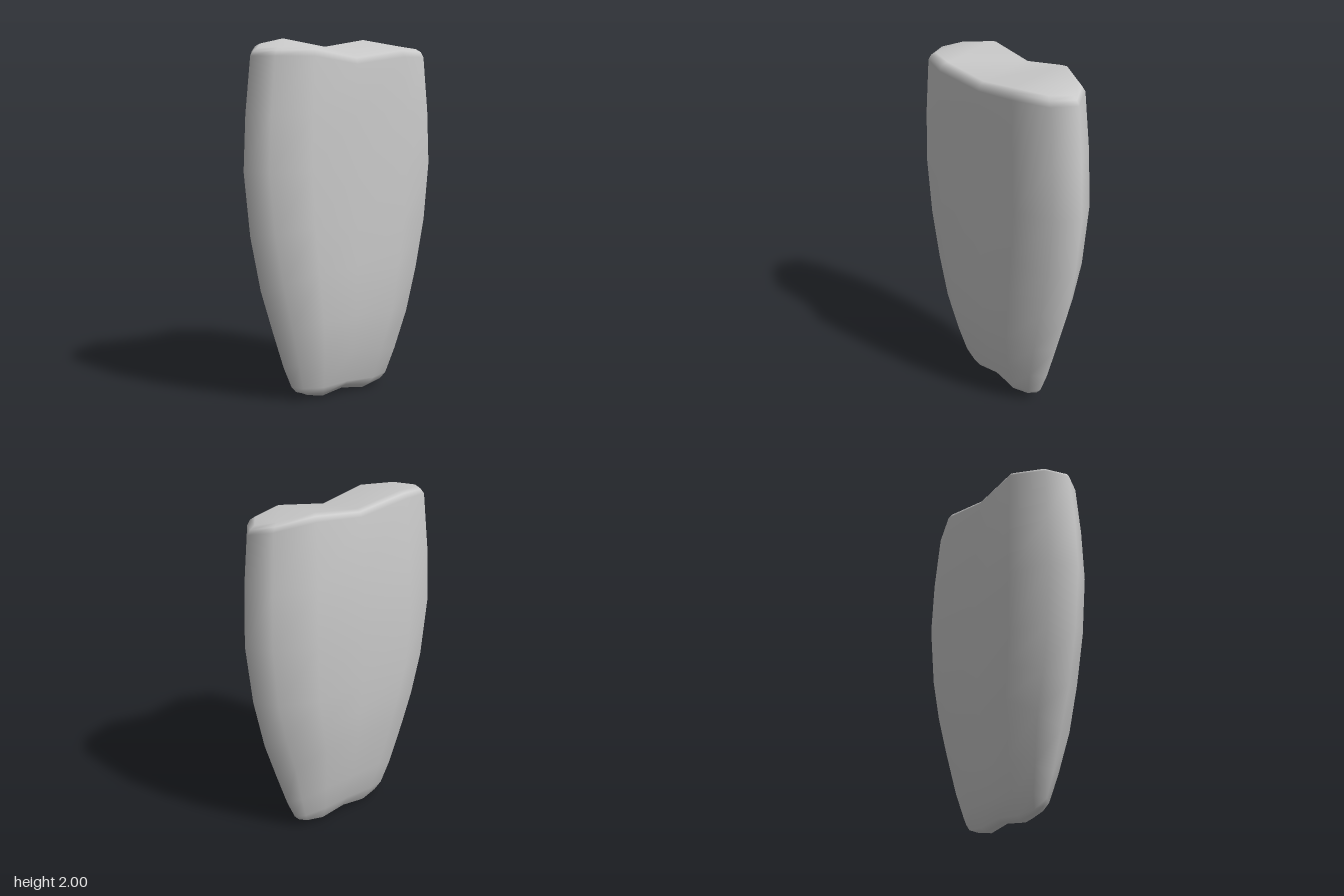
import * as THREE from 'three';

// Each ring: front y, side-tip y, back y, half width, front z, back z, drop at the middle
const RINGS = [
  [0.0, 0.035, 0.0, 0.27, 0.04, 0.0, -0.022],
  [0.025, 0.045, 0.02, 0.3, 0.075, -0.025, -0.02],
  [0.07, 0.08, 0.12, 0.33, 0.105, -0.075, -0.005],
  [0.25, 0.2, 0.3, 0.38, 0.152, -0.12, 0],
  [0.47, 0.42, 0.6, 0.45, 0.2, -0.175, 0],
  [0.75, 0.65, 0.78, 0.52, 0.213, -0.192, 0],
  [1.0, 0.95, 0.96, 0.58, 0.22, -0.207, 0],
  [1.3, 1.3, 1.3, 0.615, 0.222, -0.222, 0],
  [1.6, 1.6, 1.62, 0.6, 0.22, -0.213, 0.01],
  [1.9, 1.9, 1.965, 0.567, 0.212, -0.187, 0.04],
  [1.935, 1.925, 1.99, 0.55, 0.2, -0.17, 0.042],
  [1.95, 1.942, 2.0, 0.525, 0.175, -0.143, 0.042],
];
const N = 12;
const TIP_Z = 0.016;

// Twelve-sided, slightly waisted cross-section
function ringPoints([yF, yT, yB, w, zF, zB, drop]) {
  const half = (y, z, side, waist) => [
    [0.865 * w, yT + (y - yT) * 0.45, TIP_Z + (z - TIP_Z) * side],
    [0.515 * w, y, z],
    [0, y - drop, z * waist],
  ];
  const mirror = ([x, y, z]) => [-x, y, z];
  const f = half(yF, zF, 0.62, 0.86);
  const b = half(yB, zB, 0.57, 0.94);
  return [
    [w, yT, TIP_Z], f[0], f[1], f[2], mirror(f[1]), mirror(f[0]),
    [-w, yT, TIP_Z], mirror(b[0]), mirror(b[1]), b[2], b[1], b[0],
  ];
}

function createBodyGeometry() {
  const positions = RINGS.flatMap((r) => ringPoints(r).flat());
  const index = [];
  // Side walls
  for (let k = 0; k < RINGS.length - 1; k++) {
    for (let i = 0; i < N; i++) {
      const a = k * N + i, b = k * N + ((i + 1) % N);
      index.push(b, a, a + N, b, a + N, b + N);
    }
  }
  // End caps, bridged from the front edge to the back edge
  const top = (RINGS.length - 1) * N;
  for (let i = 0; i < N / 2; i++) {
    const f0 = i, f1 = i + 1, b0 = (N - i) % N, b1 = N - i - 1;
    const tris = [];
    if (f0 !== b0) tris.push([f1, f0, b0]);
    if (f1 !== b1) tris.push([f1, b0, b1]);
    for (const [p, q, r] of tris) {
      index.push(top + p, top + q, top + r, p, r, q);
    }
  }
  const geometry = new THREE.BufferGeometry();
  geometry.setAttribute('position', new THREE.Float32BufferAttribute(positions, 3));
  geometry.setIndex(index);
  geometry.computeVertexNormals();
  return geometry;
}

export function createModel() {
  const group = new THREE.Group();
  group.name = 'incisorTooth';
  const body = new THREE.Mesh(
    createBodyGeometry(),
    new THREE.MeshStandardMaterial({ color: 0xcccccc })
  );
  body.name = 'toothBody';
  group.add(body);
  return group;
}
